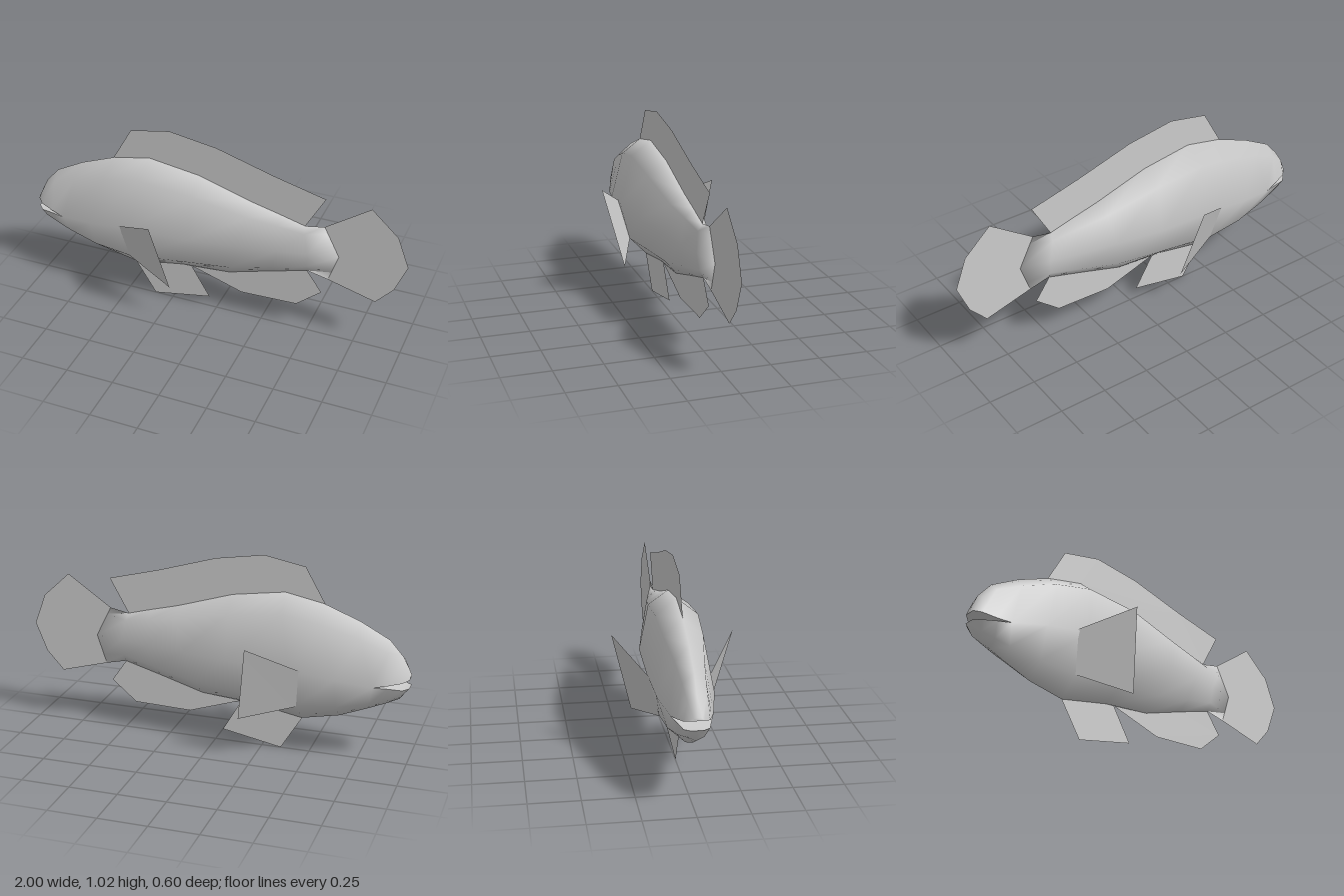
import * as THREE from 'three';
import { mergeGeometries, mergeVertices } from 'three/addons/utils/BufferGeometryUtils.js';

// Stations from snout to tail: top [x, y], side [x, y, half width], bottom [x, y];
// gap is the height of the open mouth below the side line.
const STATIONS = [
  { top: [-1.0, 0.48], side: [-1.0, 0.465, 0.03], bottom: [-0.99, 0.41], gap: 0.045 },
  { top: [-0.96, 0.57], side: [-0.97, 0.455, 0.06], bottom: [-0.95, 0.35], gap: 0.038 },
  { top: [-0.89, 0.65], side: [-0.9, 0.44, 0.08], bottom: [-0.88, 0.315], gap: 0.015 },
  { top: [-0.74, 0.73], side: [-0.83, 0.43, 0.1], bottom: [-0.8, 0.28], gap: 0 },
  { top: [-0.56, 0.8], side: [-0.65, 0.46, 0.137], bottom: [-0.65, 0.22], gap: 0 },
  { top: [-0.36, 0.84], side: [-0.42, 0.49, 0.152], bottom: [-0.46, 0.18], gap: 0 },
  { top: [-0.09, 0.8], side: [-0.1, 0.5, 0.147], bottom: [-0.19, 0.23], gap: 0 },
  { top: [0.2, 0.71], side: [0.15, 0.5, 0.105], bottom: [0.07, 0.25], gap: 0 },
  { top: [0.34, 0.675], side: [0.35, 0.5, 0.07], bottom: [0.3, 0.32], gap: 0 },
  { top: [0.47, 0.64], side: [0.5, 0.505, 0.04], bottom: [0.49, 0.375], gap: 0 },
  { top: [0.57, 0.66], side: [0.65, 0.5, 0.0], bottom: [0.6, 0.35], gap: 0 },
];

// Skin neighbouring rows of points with triangles
function loft(rows) {
  const n = rows[0].length;
  const index = [];
  for (let i = 0; i < rows.length - 1; i++) {
    for (let j = 0; j < n - 1; j++) {
      const a = i * n + j, b = a + n;
      index.push(a, a + 1, b, a + 1, b + 1, b);
    }
  }
  const g = new THREE.BufferGeometry();
  g.setAttribute('position', new THREE.Float32BufferAttribute(rows.flat(2), 3));
  g.setIndex(index);
  return g;
}

// Arch from one side line over the ridge (or keel) to the other side line
function arch([sx, sy, w], [rx, ry], t, widthFactor, dir) {
  const mx = sx + (rx - sx) * t, my = sy + (ry - sy) * t, mw = w * widthFactor;
  return [[sx, sy, -w * dir], [mx, my, -mw * dir], [rx, ry, 0], [mx, my, mw * dir], [sx, sy, w * dir]];
}

const lowerSide = (s) => [s.side[0], s.side[1] - s.gap, s.side[2]];

// Close the front of a jaw by collapsing its first row to a point
function closeFront(rows) {
  const [x, y] = rows[0][0];
  return [rows[0].map(() => [x, y, 0]), ...rows];
}

function smooth(geometries) {
  const g = mergeVertices(mergeGeometries(geometries), 1e-4);
  g.computeVertexNormals();
  return g;
}

export function createModel() {
  const group = new THREE.Group();
  const skin = new THREE.MeshStandardMaterial({ color: 0xcccccc });
  const finSkin = new THREE.MeshStandardMaterial({ color: 0xcccccc, side: THREE.DoubleSide });

  const add = (name, geometry, material) => {
    const mesh = new THREE.Mesh(geometry, material);
    mesh.name = name;
    group.add(mesh);
  };

  // Body: back and belly shells meeting along the side line, parted at the jaws
  const back = STATIONS.map((s) => arch(s.side, s.top, 0.77, 0.68, 1));
  const belly = STATIONS.map((s) => arch(lowerSide(s), s.bottom, 0.68, 0.62, -1));
  add('body', smooth([loft(closeFront(back)), loft(closeFront(belly))]), skin);

  // Mouth: roof facing down and floor facing up
  const jaws = STATIONS.slice(0, 4);
  const across = ([x, y, w], dir) => [[x, y, -w * dir], [x, y, w * dir]];
  const roof = loft(jaws.map((s) => across(s.side, -1)));
  const floor = loft(jaws.map((s) => across(lowerSide(s), 1)));
  for (const [name, g] of [['mouthRoof', roof], ['mouthFloor', floor]]) {
    g.computeVertexNormals();
    add(name, g, skin);
  }

  // Thin fins standing in the middle plane
  const fins = {
    dorsalFin: [[-0.565, 0.795], [-0.46, 0.98], [-0.25, 1.02], [0, 0.98], [0.3, 0.89], [0.57, 0.82],
      [0.47, 0.64], [0.2, 0.71], [-0.09, 0.8], [-0.36, 0.84]],
    tailFin: [[0.57, 0.66], [0.8, 0.82], [0.94, 0.69], [1, 0.53], [0.94, 0.38], [0.85, 0.28],
      [0.6, 0.35], [0.65, 0.5]],
    analFin: [[-0.14, 0.233], [0.14, 0.14], [0.44, 0.15], [0.57, 0.26], [0.49, 0.375], [0.3, 0.32], [0.07, 0.25]],
    pelvicFin: [[-0.46, 0.18], [-0.35, 0], [-0.04, 0.06], [-0.14, 0.233], [-0.19, 0.23]],
  };
  for (const [name, outline] of Object.entries(fins)) {
    const shape = new THREE.Shape(outline.map(([x, y]) => new THREE.Vector2(x, y)));
    add(name, new THREE.ShapeGeometry(shape), finSkin);
  }

  // Pectoral fins spreading from both flanks
  for (const [name, side] of [['frontPectoralFin', 1], ['backPectoralFin', -1]]) {
    const g = loft([
      [[-0.48, 0.49, 0.147 * side], [-0.46, 0.28, 0.09 * side]],
      [[-0.24, 0.63, 0.3 * side], [-0.18, 0.22, 0.2 * side]],
    ]);
    g.computeVertexNormals();
    add(name, g, finSkin);
  }

  return group;
}
